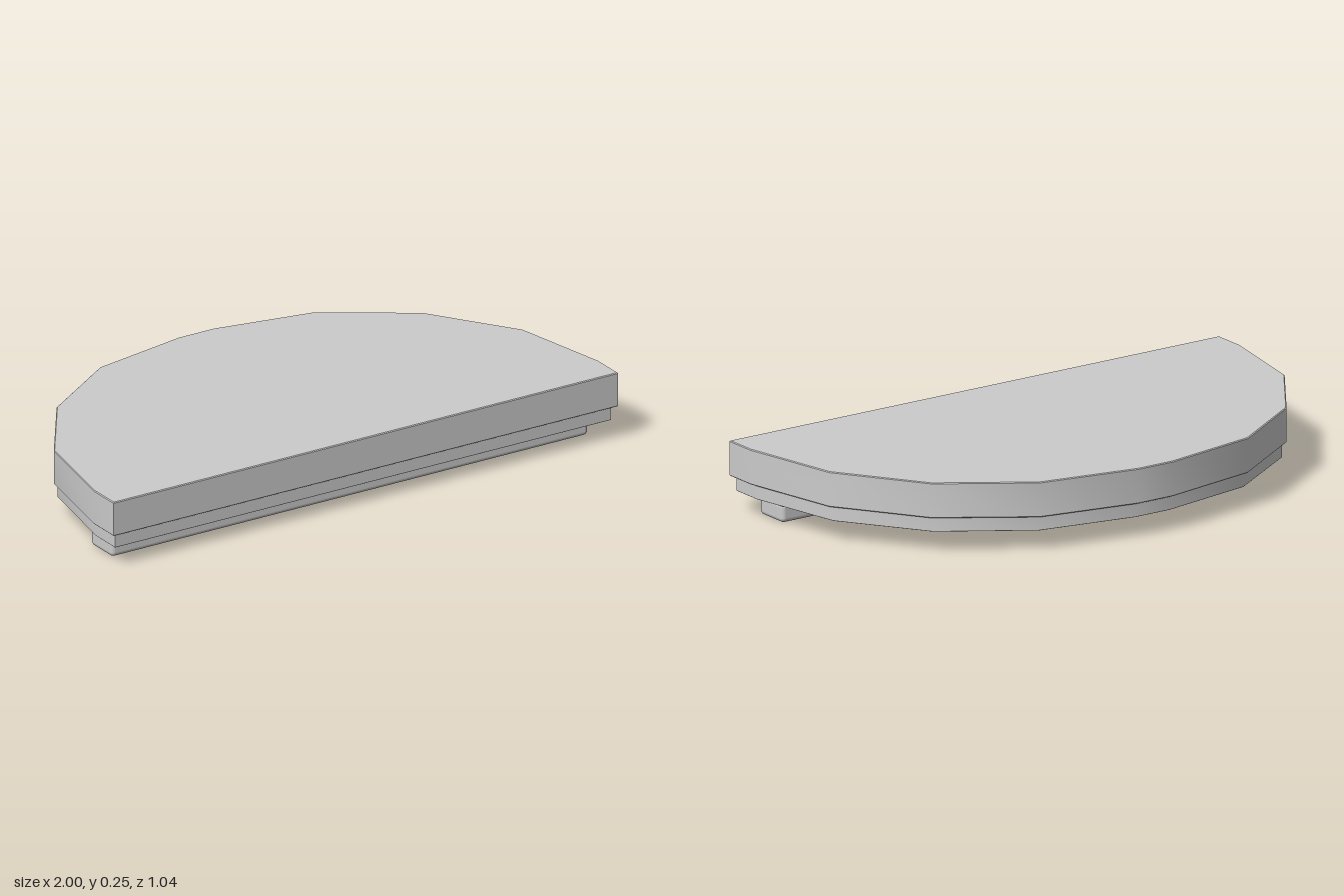
import * as THREE from 'three';
import { toCreasedNormals } from 'three/addons/utils/BufferGeometryUtils.js';
import { RoundedBoxGeometry } from 'three/addons/geometries/RoundedBoxGeometry.js';

const material = new THREE.MeshStandardMaterial({ color: 0xcccccc });

// Right half of the half-round plan, from front edge to back, as [x, z]
const half = [[1, 0.52], [1, 0.4], [0.93, 0.045], [0.725, -0.255], [0.425, -0.455], [0.07, -0.522]];

// Extrudes the plan upwards from y0 to y1, with a small bevel kept inside the outline
function slab(name, sx, sz, y0, y1, bevel) {
  const right = half.map(([x, z]) => new THREE.Vector2(x * sx, -z * sz));
  const left = right.map((p) => new THREE.Vector2(-p.x, p.y)).reverse();
  const geometry = new THREE.ExtrudeGeometry(new THREE.Shape([...right, ...left]), {
    depth: y1 - y0 - 2 * bevel,
    bevelEnabled: true,
    bevelThickness: bevel,
    bevelSize: bevel,
    bevelOffset: -bevel,
    bevelSegments: 1,
  });
  geometry.rotateX(-Math.PI / 2).translate(0, y0 + bevel, 0);
  const mesh = new THREE.Mesh(toCreasedNormals(geometry, 0.6), material);
  mesh.name = name;
  return mesh;
}

function place(name, geometry, x, y, z) {
  const mesh = new THREE.Mesh(geometry, material);
  mesh.name = name;
  mesh.position.set(x, y, z);
  return mesh;
}

export function createModel() {
  const group = new THREE.Group();
  group.name = 'halfRoundPanel';

  // Thick top and the slightly inset layer below it
  group.add(slab('topSlab', 1, 1, 0.122, 0.245, 0.003));
  group.add(slab('lowerLip', 0.983, 0.967, 0.071, 0.124, 0.001));

  // Rounded rail along the front of the underside, on a thin mounting strip
  group.add(place('mountingStrip', new THREE.BoxGeometry(1.9, 0.008, 0.165), 0, 0.068, 0.365));
  group.add(place('rail', new RoundedBoxGeometry(1.89, 0.067, 0.132, 3, 0.016), -0.005, 0.0335, 0.366));
  return group;
}
